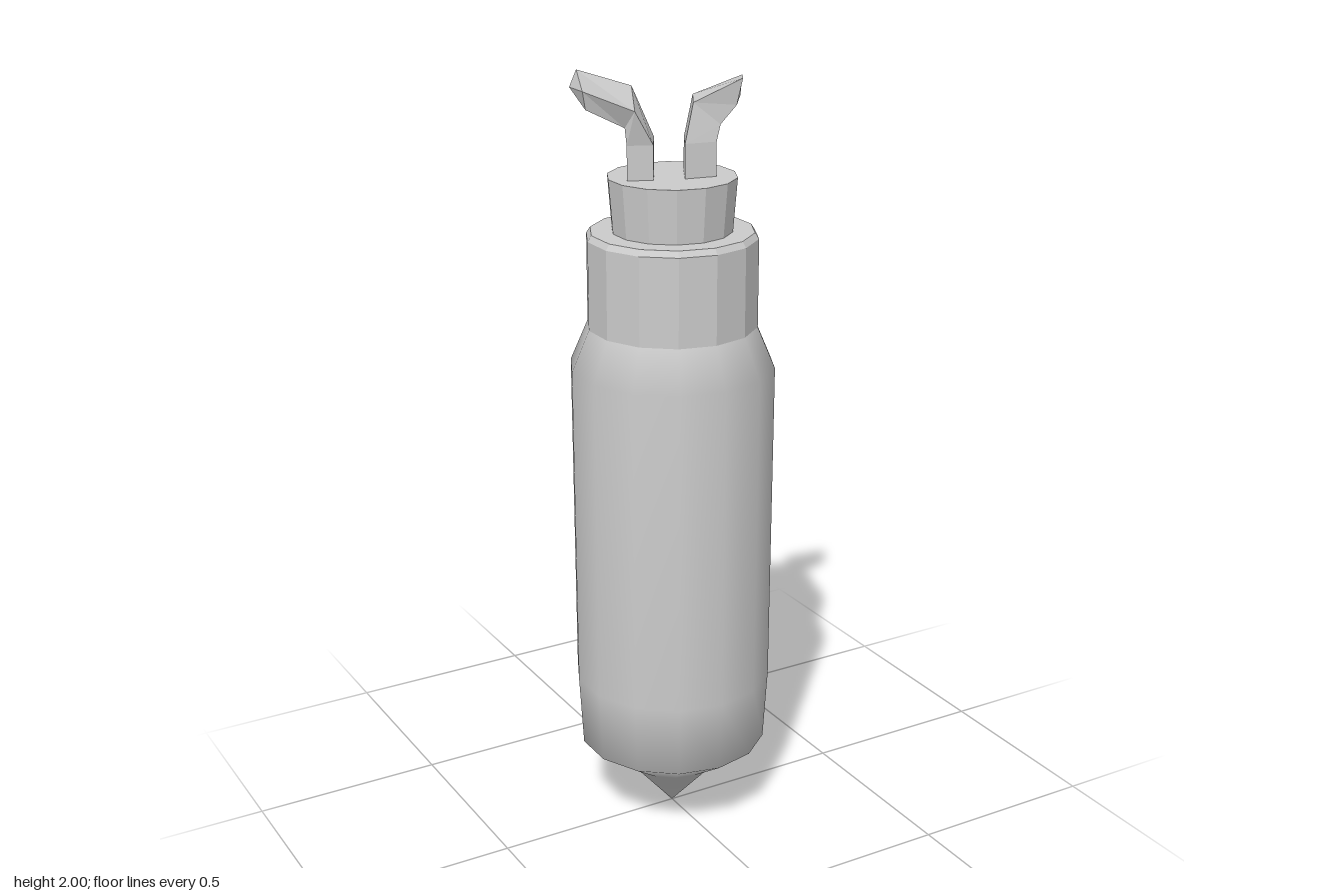
import * as THREE from 'three';

const SIDES = 14;

function material(flatShading) {
  return new THREE.MeshStandardMaterial({ color: 0xcccccc, flatShading });
}

// Turned part from [radius, height] pairs, listed bottom to top
function turned(name, profile, flat) {
  const points = profile.map(([r, y]) => new THREE.Vector2(r, y));
  const mesh = new THREE.Mesh(new THREE.LatheGeometry(points, SIDES), material(flat));
  mesh.name = name;
  return mesh;
}

// Bent four-sided bar joining cross-sections, capped at its free end
function bentBar(name, sections) {
  const positions = [];
  const quad = (a, b, c, d) => positions.push(...a, ...b, ...c, ...a, ...c, ...d);
  for (let s = 0; s < sections.length - 1; s++) {
    const low = sections[s], high = sections[s + 1];
    for (let i = 0; i < 4; i++) {
      const j = (i + 1) % 4;
      quad(low[j], low[i], high[i], high[j]);
    }
  }
  const [a, b, c, d] = sections[sections.length - 1];
  quad(d, c, b, a);
  const geometry = new THREE.BufferGeometry();
  geometry.setAttribute('position', new THREE.Float32BufferAttribute(positions, 3));
  geometry.computeVertexNormals();
  const mesh = new THREE.Mesh(geometry, material(true));
  mesh.name = name;
  return mesh;
}

// Horizontal cross-section with [x, z] corners at one height
const level = (y, corners) => corners.map(([x, z]) => [x, y, z]);

export function createModel() {
  const group = new THREE.Group();
  group.name = 'pointedCanister';

  // Smooth body with a pointed foot
  group.add(turned('body', [
    [0, 0], [0.12, 0.135], [0.246, 0.22], [0.257, 0.41], [0.26, 1.26], [0.213, 1.37],
  ], false));

  // Faceted collar and the narrower neck above it
  group.add(turned('collar', [
    [0.215, 1.36], [0.215, 1.59], [0.205, 1.605], [0, 1.605],
  ], true));
  group.add(turned('neck', [
    [0.15, 1.6], [0.161, 1.74], [0, 1.74],
  ], true));

  // Two bent prongs leaning outward
  const rightFoot = [[-0.015, -0.062], [-0.066, 0.025], [-0.125, 0], [-0.076, -0.087]];
  group.add(bentBar('rightProng', [
    level(1.73, rightFoot),
    level(1.825, rightFoot),
    [[-0.077, 1.955, -0.062], [-0.116, 1.91, 0.025], [-0.13, 1.868, 0], [-0.097, 1.9, -0.086]],
    [[-0.21, 2, -0.091], [-0.243, 1.965, 0.003], [-0.232, 1.92, -0.004], [-0.229, 1.96, -0.092]],
  ]));

  const leftFoot = [[0.007, 0.05], [0.046, -0.023], [0.105, -0.01], [0.087, 0.064]];
  group.add(bentBar('leftProng', [
    level(1.73, leftFoot),
    level(1.825, leftFoot),
    [[0.036, 1.92, 0.039], [0.077, 1.925, -0.034], [0.115, 1.88, -0.015], [0.1, 1.865, 0.06]],
    [[0.147, 1.975, 0.084], [0.189, 1.97, 0.014], [0.185, 1.92, 0.012], [0.138, 1.91, 0.072]],
  ]));

  return group;
}
